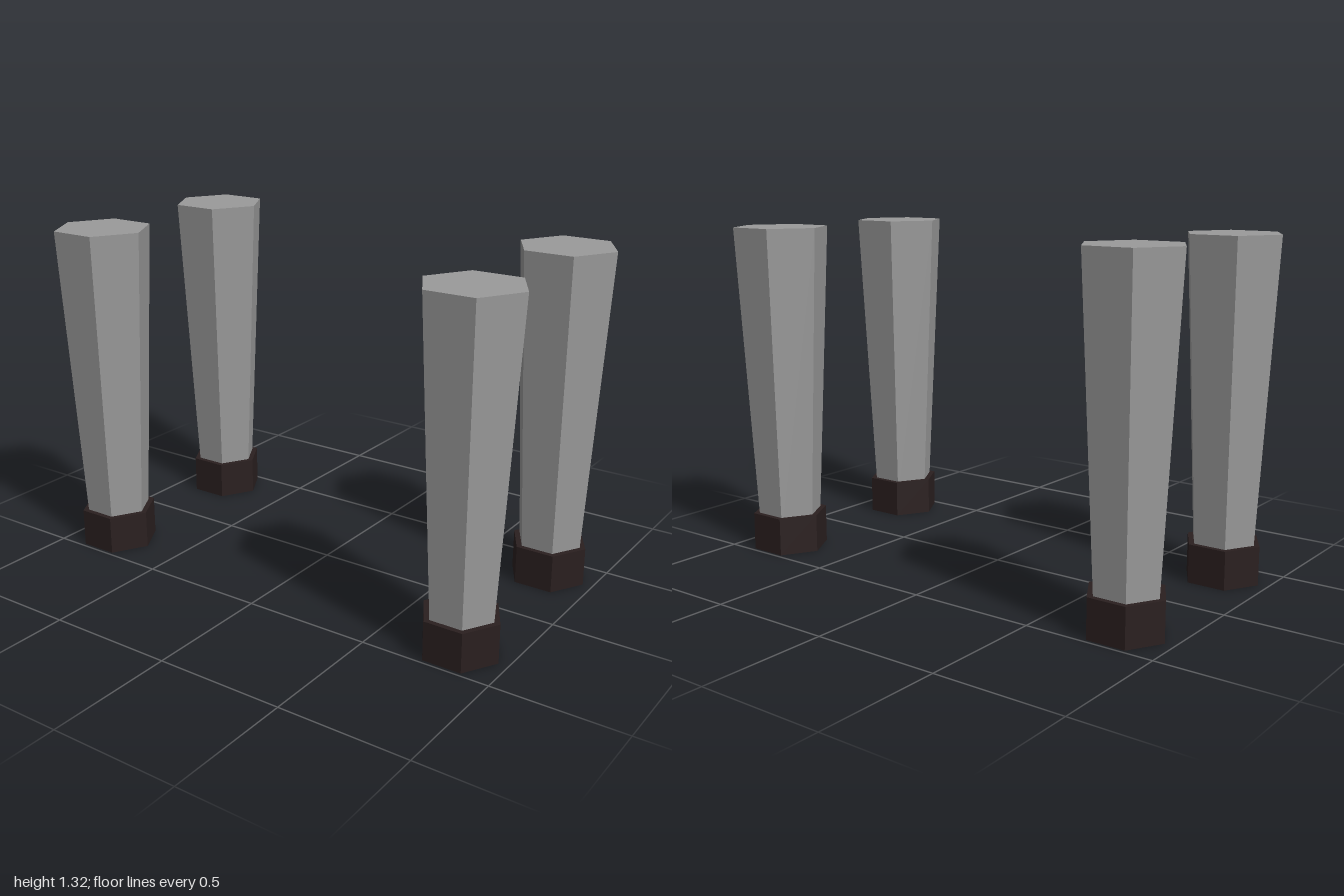
import * as THREE from 'three';

export function createModel() {
  const model = new THREE.Group();
  const grey = new THREE.MeshStandardMaterial({ color: 0x9a9a9a });
  grey.name = 'leg grey';
  const dark = new THREE.MeshStandardMaterial({ color: 0x2a1f1f });
  dark.name = 'hoof dark brown';

  // Six-sided column with corners pointing along x, standing on y = bottom
  function column(name, rTop, rBottom, bottom, top, material) {
    const geometry = new THREE.CylinderGeometry(rTop, rBottom, top - bottom, 6)
      .rotateY(Math.PI / 6)
      .translate(0, (top + bottom) / 2, 0)
      .toNonIndexed();
    geometry.computeVertexNormals();
    const mesh = new THREE.Mesh(geometry, material);
    mesh.name = name;
    return mesh;
  }

  // Four tapered legs, each set into a wider hoof
  for (const [end, z] of [['front', 0.354], ['back', -0.354]]) {
    for (const [side, x] of [['Left', 0.811], ['Right', -0.811]]) {
      const leg = new THREE.Group();
      leg.name = `${end}${side}Leg`;
      leg.position.set(x, 0, z);
      leg.add(column('shank', 0.189, 0.125, 0.1, 1.315, grey));
      leg.add(column('hoof', 0.151, 0.151, 0, 0.151, dark));
      model.add(leg);
    }
  }
  return model;
}
